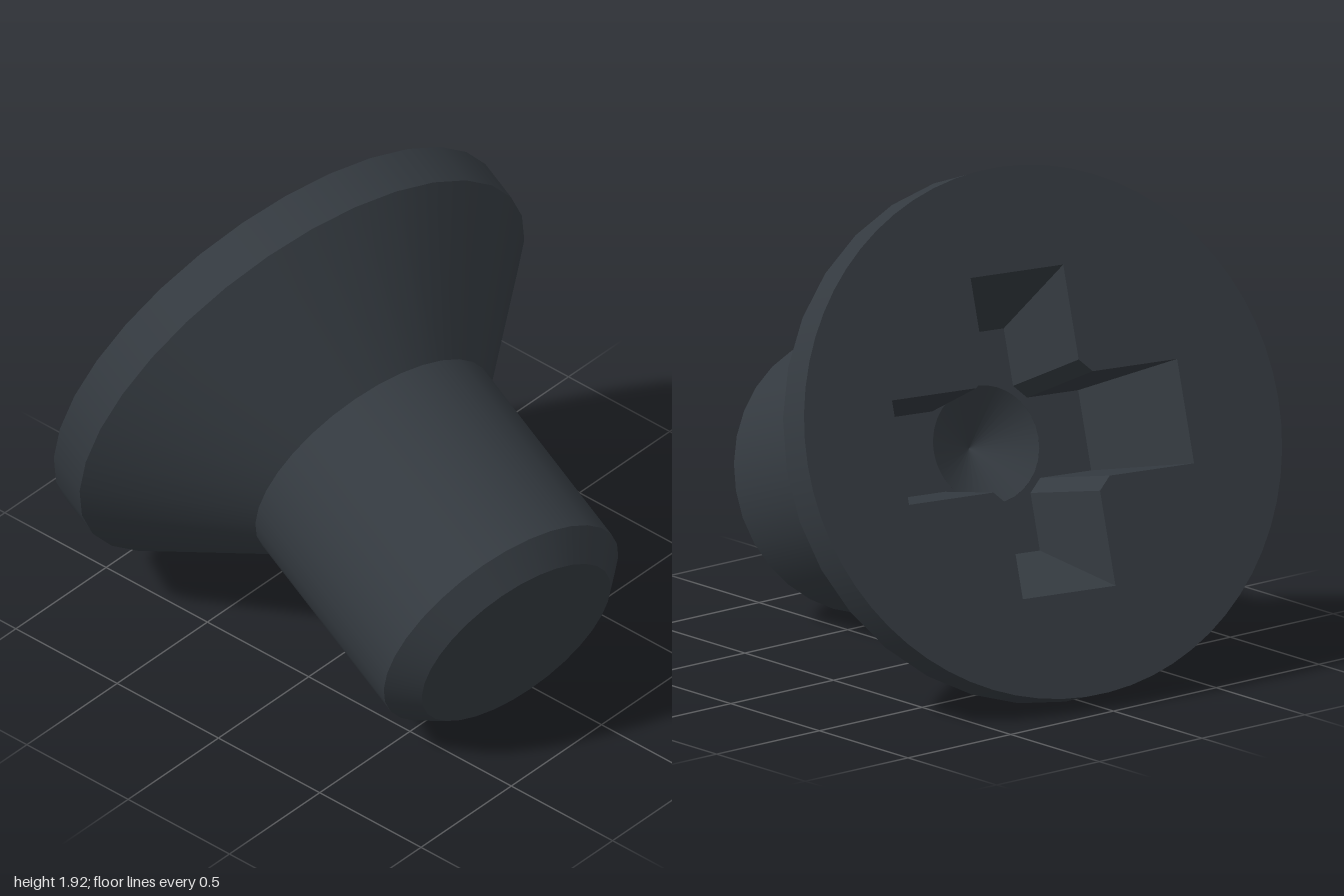
import * as THREE from 'three';

const SIDES = 32;
const RECESS_DEPTH = 0.46;
const CONE_RADIUS = 0.22;

// Cross outline: arm length, half width of an arm, chamfer of the inner corners
function crossOutline(length, half, chamfer) {
  const quarter = [
    [length, -half], [length, half], [half + chamfer, half], [half, half + chamfer],
  ];
  const points = [];
  for (let i = 0; i < 4; i++) {
    const c = [1, 0, -1, 0][i], s = [0, 1, 0, -1][i];
    for (const [x, y] of quarter) points.push(new THREE.Vector2(x * c - y * s, x * s + y * c));
  }
  return points;
}

// Surface turned about the z axis, from [radius, z] pairs
function turned(...profile) {
  const geometry = new THREE.LatheGeometry(profile.map(([r, z]) => new THREE.Vector2(r, z)), SIDES);
  return geometry.rotateX(Math.PI / 2);
}

// Flat inward-facing walls between two outlines at different depths
function walls(top, bottom, depth) {
  const v = [];
  top.forEach((a, i) => {
    const j = (i + 1) % top.length;
    const b = top[j], c = bottom[j], d = bottom[i];
    v.push(a.x, a.y, 0, b.x, b.y, 0, c.x, c.y, -depth);
    v.push(a.x, a.y, 0, c.x, c.y, -depth, d.x, d.y, -depth);
  });
  const geometry = new THREE.BufferGeometry();
  geometry.setAttribute('position', new THREE.Float32BufferAttribute(v, 3));
  geometry.computeVertexNormals();
  return geometry;
}

export function createModel() {
  const steel = new THREE.MeshStandardMaterial({ color: 0x343a40 });
  steel.name = 'dark steel';

  const screw = new THREE.Group();
  screw.name = 'countersunkScrew';
  const add = (name, geometry) => {
    const mesh = new THREE.Mesh(geometry, steel);
    mesh.name = name;
    screw.add(mesh);
  };

  // Turned body, with the head face at z = 0 and the tip towards -z
  add('headRim', turned([0.99, -0.17], [0.99, 0]));
  add('headCone', turned([0.522, -0.635], [0.99, -0.17]));
  add('shank', turned([0.522, -1.48], [0.522, -0.635]));
  add('tipChamfer', turned([0.42, -1.58], [0.522, -1.48]));
  add('tipFace', turned([0, -1.58], [0.42, -1.58]));

  // Head face with the cross opening
  const opening = crossOutline(0.6, 0.195, 0.05);
  const bottom = crossOutline(0.415, 0.15, 0.05);
  const face = new THREE.Shape().absarc(0, 0, 0.99, 0, Math.PI * 2, false);
  face.holes.push(new THREE.Path(opening.concat(opening[0].clone())));
  add('headFace', new THREE.ShapeGeometry(face, SIDES));

  // Tapered drive recess with a conical centre
  add('recessWalls', walls(opening, bottom, RECESS_DEPTH));
  const floor = new THREE.Shape(bottom);
  floor.holes.push(new THREE.Path().absarc(0, 0, CONE_RADIUS, 0, Math.PI * 2, true));
  add('recessFloor', new THREE.ShapeGeometry(floor, SIDES).translate(0, 0, -RECESS_DEPTH));
  add('recessCone', turned([CONE_RADIUS, -RECESS_DEPTH], [0, -0.6]));

  // Tilt the screw: its head leans back and its tip points down
  const z = new THREE.Vector3(-0.923, 0.332, -0.194).normalize();
  const x = new THREE.Vector3(0, 1, 0).cross(z).normalize();
  const y = z.clone().cross(x);
  screw.quaternion.setFromRotationMatrix(new THREE.Matrix4().makeBasis(x, y, z));
  screw.position.set(-0.619, 0.996, -0.014);

  const model = new THREE.Group();
  model.name = 'screwModel';
  model.add(screw);
  return model;
}
